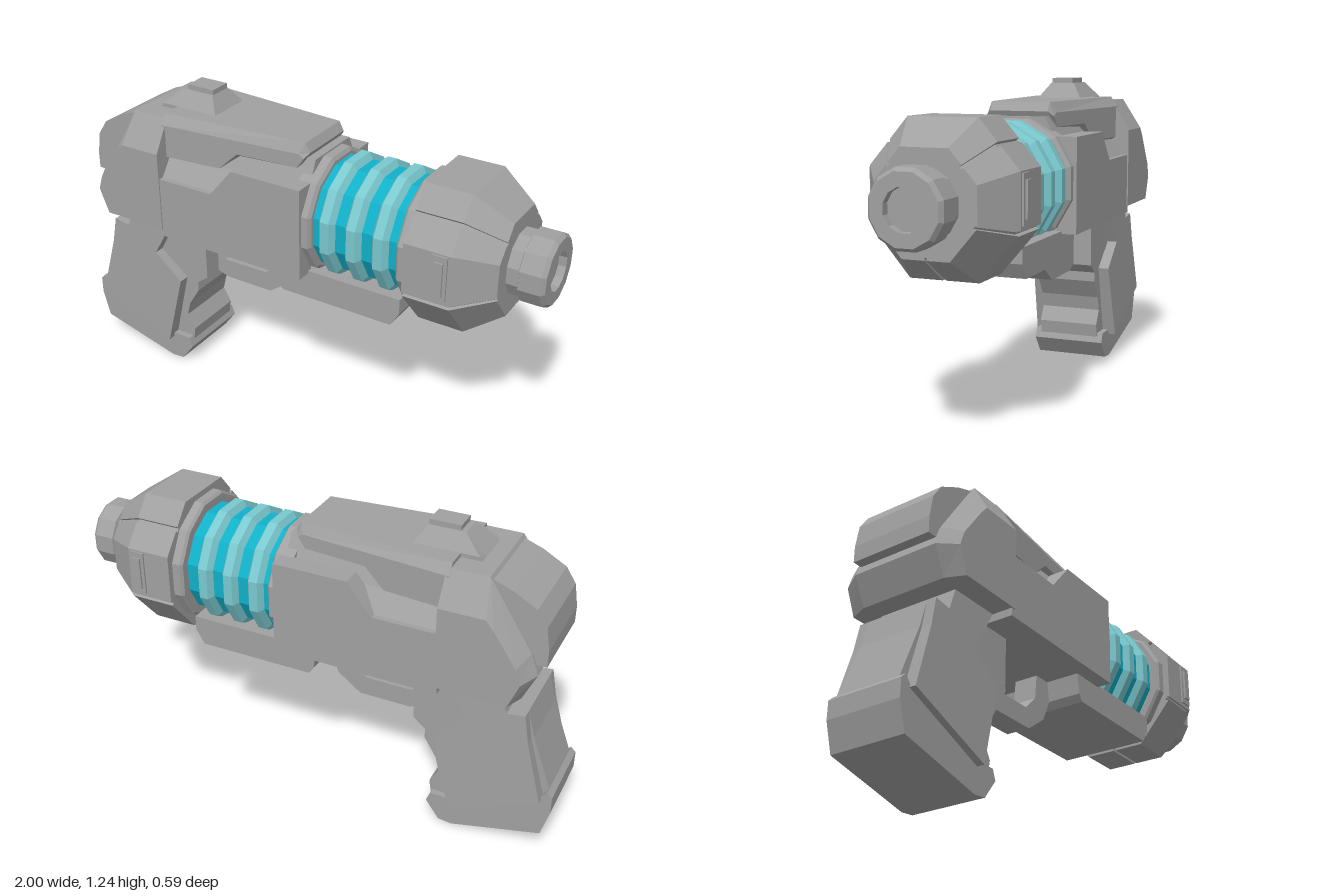
import * as THREE from 'three';

const AXIS_Y = 0.857;

// Hard-edged geometry: unshared corners, faces turned outward
function finish(geo) {
  const g = geo.index ? geo.toNonIndexed() : geo;
  const p = g.attributes.position;
  const a = new THREE.Vector3(), b = new THREE.Vector3(), c = new THREE.Vector3();
  let volume = 0;
  for (let i = 0; i < p.count; i += 3) {
    a.fromBufferAttribute(p, i);
    b.fromBufferAttribute(p, i + 1);
    c.fromBufferAttribute(p, i + 2);
    volume += a.dot(b.cross(c));
  }
  if (volume < 0) {
    for (let i = 0; i < p.count; i += 3) {
      b.fromBufferAttribute(p, i + 1);
      c.fromBufferAttribute(p, i + 2);
      p.setXYZ(i + 1, c.x, c.y, c.z);
      p.setXYZ(i + 2, b.x, b.y, b.z);
    }
  }
  g.computeVertexNormals();
  return g;
}

// Solid through outlines [position, points]; axis z uses (x,y) points, axis x uses (z,y)
function loft(axis, rings, warp) {
  const n = rings[0][1].length, pos = [], idx = [];
  for (const [w, pts] of rings) for (const [u, v] of pts) {
    const q = axis === 'z' ? [u, v, w] : [w, v, u];
    pos.push(...(warp ? warp(...q) : q));
  }
  for (let r = 0; r < rings.length - 1; r++) for (let i = 0; i < n; i++) {
    const j = (i + 1) % n, a = r * n + i, b = r * n + j;
    idx.push(a, b, b + n, a, b + n, a + n);
  }
  const flat = pts => pts.map(([u, v]) => new THREE.Vector2(u, v));
  const last = (rings.length - 1) * n;
  const ccw = THREE.ShapeUtils.area(flat(rings[0][1])) > 0;
  const caps = THREE.ShapeUtils.triangulateShape(flat(rings[0][1]), []);
  for (let [a, b, c] of caps) {
    const pts = rings[0][1];
    const up = (pts[b][0] - pts[a][0]) * (pts[c][1] - pts[a][1]) - (pts[b][1] - pts[a][1]) * (pts[c][0] - pts[a][0]) > 0;
    if (up !== ccw) [b, c] = [c, b];
    idx.push(a, c, b, last + a, last + b, last + c);
  }
  const g = new THREE.BufferGeometry();
  g.setAttribute('position', new THREE.Float32BufferAttribute(pos, 3));
  g.setIndex(idx);
  return finish(g);
}

const slab = (pts, hz, warp) => loft('z', [[-hz, pts], [hz, pts]], warp);
// Slab whose outer faces shrink to a smaller outline
const bevelSlab = (full, small, hzIn, hzOut, warp) =>
  loft('z', [[-hzOut, small], [-hzIn, full], [hzIn, full], [hzOut, small]], warp);
// Turned part along the barrel axis from [x, radius] points
function turned(profile, sides = 12) {
  const g = new THREE.LatheGeometry(profile.map(([x, r]) => new THREE.Vector2(r, x)), sides, Math.PI / sides);
  g.rotateZ(-Math.PI / 2);
  g.translate(0, AXIS_Y, 0);
  return finish(g);
}

export function createModel() {
  const group = new THREE.Group();
  const mat = (name, color) => Object.assign(new THREE.MeshStandardMaterial({ color }), { name });
  const grey = mat('grey metal', 0xa0a0a0);
  const teal = mat('teal', 0x10b0c8);
  const paleTeal = mat('pale teal', 0x7ac8ce);
  const add = (name, geo, material = grey) => {
    const m = new THREE.Mesh(geo, material);
    m.name = name;
    group.add(m);
  };

  // Receiver core and stepped side panels
  const half = [[0.2, 0.66], [0.235, 0.7], [0.235, 0.9], [0.17, 0.99], [0.12, 1.1]];
  const core = [...half, ...half.map(([z, y]) => [-z, y]).reverse()];
  add('receiverCore', loft('x', [[-0.56, core], [0.09, core]]));
  const panel = [[-0.56, 0.66], [0.1, 0.66], [0.1, 1.03], [-0.2, 1.03], [-0.3, 0.91], [-0.56, 0.91]];
  for (const s of [1, -1]) add('sidePanel', loft('z', [[s * 0.17, panel], [s * 0.25, panel]]));

  // Top cover, narrowing toward the muzzle
  add('topCover', bevelSlab(
    [[-0.56, 0.97], [-0.31, 0.97], [-0.23, 1.045], [0.03, 1.05], [0.065, 1.12], [0.045, 1.155], [-0.56, 1.155]],
    [[-0.56, 0.985], [-0.31, 0.985], [-0.23, 1.06], [0.02, 1.06], [0.05, 1.1], [0.03, 1.115], [-0.56, 1.115]],
    0.17, 0.198, (x, y, z) => [x, y, z * (1 - 0.3 * (x + 0.56) / 0.62)]));

  // Rear housing with chamfered shoulders, and curved back plate
  add('rearHousing', bevelSlab(
    [[-0.545, 0.69], [-0.85, 0.69], [-0.9, 0.8], [-0.87, 0.88], [-0.74, 1.08], [-0.7, 1.14], [-0.545, 1.14]],
    [[-0.545, 0.69], [-0.82, 0.69], [-0.86, 0.79], [-0.84, 0.85], [-0.75, 0.98], [-0.72, 1.015], [-0.545, 1.015]],
    0.18, 0.255));
  add('backPlate', slab(
    [[-0.7, 1.13], [-0.78, 1.1], [-0.87, 1.05], [-0.91, 0.99], [-0.925, 0.9], [-0.925, 0.835], [-0.86, 0.835], [-0.7, 0.9]], 0.17));

  // Rear sight
  add('sightBase', bevelSlab(
    [[-0.64, 1.14], [-0.37, 1.14], [-0.42, 1.215], [-0.56, 1.215]],
    [[-0.64, 1.14], [-0.37, 1.14], [-0.38, 1.155], [-0.63, 1.155]], 0.05, 0.092));
  const sight = new THREE.BoxGeometry(0.12, 0.07, 0.09);
  sight.translate(-0.48, 1.2, 0);
  add('sightBlock', finish(sight));

  // Grip strap with finger grooves, side plates and base
  add('gripStrap', slab(
    [[-0.43, 0.69], [-0.43, 0.44], [-0.48, 0.4], [-0.48, 0.36], [-0.53, 0.28], [-0.545, 0.22], [-0.51, 0.16],
      [-0.52, 0.1], [-0.98, 0.2], [-0.98, 0.29], [-0.9, 0.5], [-0.87, 0.61], [-0.8, 0.6], [-0.77, 0.69]], 0.13));
  add('gripPlates', slab(
    [[-0.61, 0.1], [-0.535, 0.41], [-0.66, 0.51], [-0.56, 0.69], [-0.77, 0.69], [-0.8, 0.6], [-0.87, 0.61],
      [-0.89, 0.5], [-0.96, 0.25]], 0.185, (x, y, z) => [x, y, z * (1 - 0.17 * (y - 0.1))]));
  add('gripBase', slab(
    [[-0.62, 0], [-0.565, 0.005], [-0.51, 0.08], [-0.525, 0.12], [-0.61, 0.12], [-0.955, 0.26], [-0.98, 0.29],
      [-1, 0.27], [-1, 0.2], [-0.97, 0.09]], 0.155));

  // Trigger, guard and lower rail
  add('triggerGuard', slab(
    [[-0.44, 0.67], [-0.44, 0.44], [-0.38, 0.42], [-0.17, 0.42], [-0.075, 0.49], [-0.035, 0.58], [-0.035, 0.67],
      [-0.12, 0.67], [-0.13, 0.56], [-0.19, 0.5], [-0.39, 0.5], [-0.41, 0.53], [-0.41, 0.67]], 0.05));
  add('trigger', slab([[-0.39, 0.67], [-0.31, 0.67], [-0.31, 0.6], [-0.29, 0.53], [-0.335, 0.52]], 0.03));
  add('lowerRail', slab([[-0.05, 0.67], [-0.035, 0.58], [-0.015, 0.552], [0.455, 0.552], [0.49, 0.61], [0.49, 0.67]], 0.19));

  // Energy coil with raised rings and a collar at each end
  add('rearCollar', turned([[0.05, 0], [0.05, 0.245], [0.125, 0.245], [0.135, 0.23], [0.135, 0]]));
  add('coilCore', turned([[0.12, 0], [0.12, 0.217], [0.52, 0.217], [0.52, 0]]), teal);
  for (const x of [0.195, 0.305, 0.415]) {
    add('coilRing', turned([[x - 0.034, 0.2], [x - 0.034, 0.217], [x - 0.018, 0.242], [x + 0.018, 0.242],
      [x + 0.034, 0.217], [x + 0.034, 0.2], [x - 0.034, 0.2]]), paleTeal);
  }
  add('frontCollar', turned([[0.495, 0], [0.495, 0.25], [0.505, 0.26], [0.55, 0.26], [0.55, 0]]));

  // Nose: faceted panels separated by slits around an inner core
  const stations = [[0.538, 1], [0.718, 1], [0.856, 0.67]];
  const nose = (pts) => loft('x', stations.map(([x, s]) => [x, pts.map(([z, y]) => [z * s, AXIS_Y + y * s])]));
  const wedge = (outer) => nose([...outer, ...outer.map(([z, y]) => [z * 0.8, y * 0.8]).reverse()]);
  const octagon = [[0.13, 0.275], [0.278, 0.105], [0.278, -0.1], [0.13, -0.275]];
  const allround = [...octagon, ...octagon.map(([z, y]) => [-z, y]).reverse()];
  add('noseCore', nose(allround.map(([z, y]) => [z * 0.95, y * 0.95])));
  add('noseTopPanel', wedge([[-0.197, 0.198], [-0.13, 0.275], [0.13, 0.275], [0.197, 0.198]]));
  for (const s of [1, -1]) {
    add('noseSidePanel', wedge([[s * 0.208, 0.185], [s * 0.278, 0.105], [s * 0.278, -0.092]]));
    add('noseLowerPanel', wedge([[s * 0.272, -0.108], [s * 0.13, -0.275], [s * 0.006, -0.275]]));
    // Vent plate with a raised centre
    for (const [w, h, d] of [[0.06, 0.175, 0.285], [0.034, 0.13, 0.293]]) {
      const vent = new THREE.BoxGeometry(w, h, 0.03);
      vent.translate(0.678, 0.868, s * (d - 0.015));
      add('noseVent', finish(vent));
    }
  }

  // Muzzle with a shallow recessed bore
  add('muzzle', turned([[0.82, 0], [0.82, 0.125], [0.9, 0.125], [0.905, 0.138], [0.985, 0.138], [1, 0.125],
    [1, 0.075], [0.97, 0.075], [0.97, 0]]));
  return group;
}
